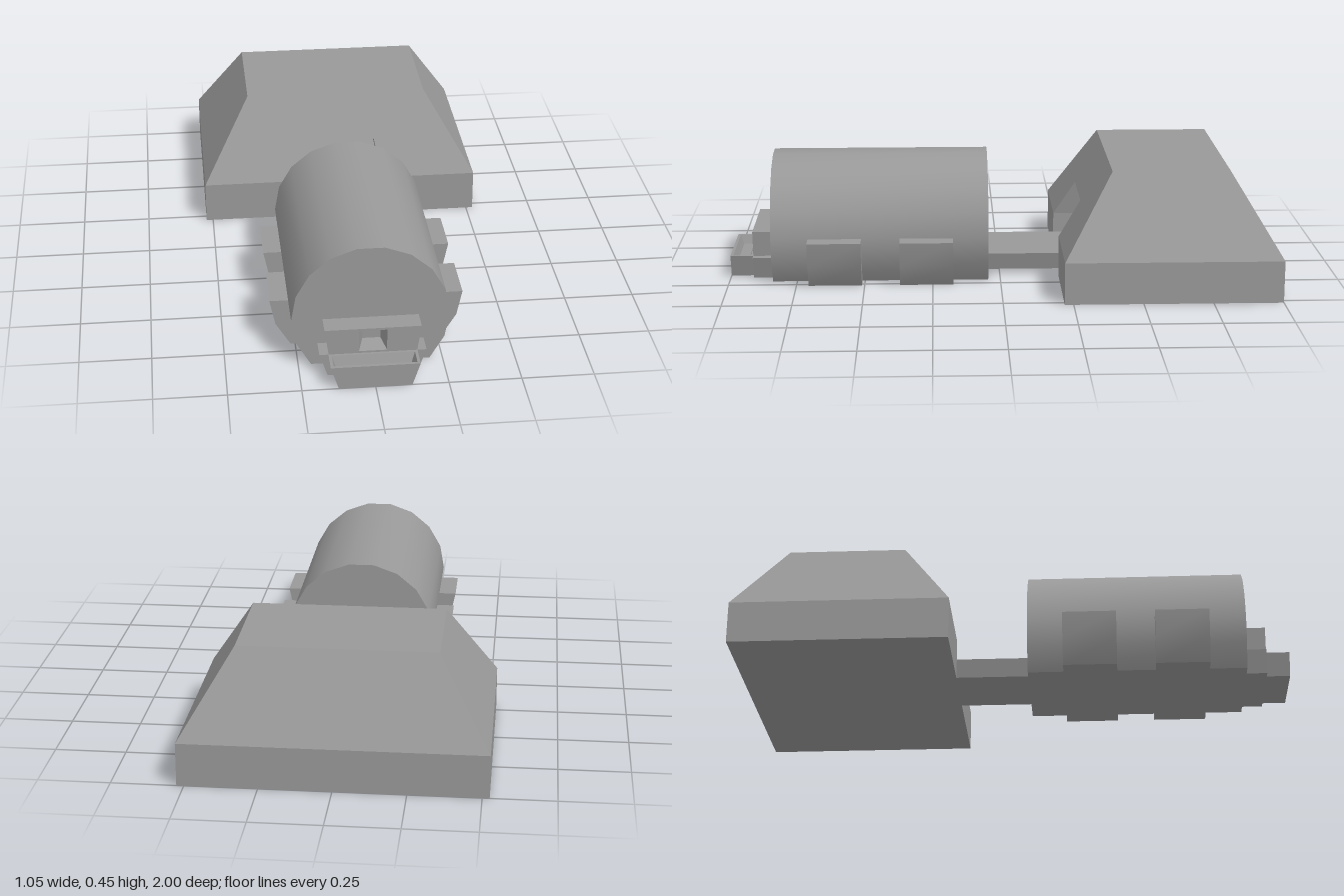
import * as THREE from 'three';
import { toCreasedNormals } from 'three/addons/utils/BufferGeometryUtils.js';

const material = new THREE.MeshStandardMaterial({ color: 0x999999 });

// Skin a list of equal-length rings with quads and cap both ends.
function loft(rings) {
  const pos = [];
  const tri = (a, b, c) => {
    const [A, B, C] = [a, b, c].map((p) => new THREE.Vector3(...p));
    if (B.clone().sub(A).cross(C.clone().sub(A)).length() > 1e-9) pos.push(...a, ...b, ...c);
  };
  const n = rings[0].length;
  for (let i = 0; i < rings.length - 1; i++) {
    for (let j = 0; j < n; j++) {
      const k = (j + 1) % n, a = rings[i], b = rings[i + 1];
      tri(a[j], a[k], b[k]);
      tri(a[j], b[k], b[j]);
    }
  }
  const first = rings[0], last = rings[rings.length - 1];
  for (let j = 1; j < n - 1; j++) {
    tri(first[0], first[j + 1], first[j]);
    tri(last[0], last[j], last[j + 1]);
  }
  const g = new THREE.BufferGeometry();
  g.setAttribute('position', new THREE.Float32BufferAttribute(pos, 3));
  g.computeVertexNormals();
  return g;
}

// Horizontal rectangle at height y
const flat = (y, x, z0, z1) => [[-x, y, z1], [x, y, z1], [x, y, z0], [-x, y, z0]];
// Upright trapezoid at depth z
const upright = (z, y0, x0, y1, x1) => [[-x0, y0, z], [x0, y0, z], [x1, y1, z], [-x1, y1, z]];

// Extrude a front outline from z0 to z1, smooth across its shallow bends
function prism(points, z0, z1) {
  const shape = new THREE.Shape(points.map(([x, y]) => new THREE.Vector2(x, y)));
  const g = new THREE.ExtrudeGeometry(shape, { depth: z1 - z0, bevelEnabled: false });
  g.translate(0, 0, z0);
  return toCreasedNormals(g, 0.5);
}

export function createModel() {
  const model = new THREE.Group();
  const add = (name, geometry) => {
    const mesh = new THREE.Mesh(geometry, material);
    mesh.name = name;
    model.add(mesh);
  };

  // Sloped building; its cross-section has a notch for the entrance
  const section = (y, x, zBack, zFront, n, depth) => [
    [-x, y, zFront], [-n, y, zFront], [-n, y, zFront - depth], [n, y, zFront - depth],
    [n, y, zFront], [x, y, zFront], [x, y, zBack], [-x, y, zBack],
  ];
  const t = 0.45; // height of the entrance lintel along the slope
  const lintel = [0.153 + 0.289 * t, 0.525 - 0.18 * t, -1 + 0.177 * t, -0.218 - 0.18 * t, 0.14];
  add('building', loft([
    section(0, 0.525, -1, -0.218, 0.165, 0),
    section(0, 0.525, -1, -0.218, 0.165, 0.17),
    section(0.153, 0.525, -1, -0.218, 0.165, 0.17),
    section(...lintel, 0.17),
    section(...lintel, 0),
    section(0.442, 0.345, -0.823, -0.398, 0.14, 0),
  ]));

  // Passage from the building to the cabin, with sides leaning in at the bottom
  add('passage', loft([flat(0.018, 0.131, -0.26, 0.06), flat(0.083, 0.15, -0.26, 0.06)]));
  add('passageThreshold', loft([flat(0.018, 0.11, -0.4, -0.25), flat(0.07, 0.125, -0.4, -0.25)]));

  // Round cabin, cut flat where it meets the ground
  const r = 0.272, axis = 0.178;
  const cut = THREE.MathUtils.radToDeg(Math.asin(axis / r));
  const arc = (deg) => {
    const a = THREE.MathUtils.degToRad(deg);
    return [r * Math.cos(a), axis + r * Math.sin(a)];
  };
  const outline = [arc(-cut)];
  for (let deg = -20; deg <= 200; deg += 20) outline.push(arc(deg));
  outline.push(arc(180 + cut));
  add('cabin', prism(outline, 0.045, 0.84));

  // Two support feet on each side, following the cabin wall
  const inner = [-cut, -20, 0].map(arc);
  const thickness = [0.06, 0.062, 0.065];
  const foot = [...inner.map(([x, y], i) => [x + thickness[i], y]), ...inner.slice().reverse()];
  for (const side of [1, -1]) {
    for (const z of [0.175, 0.51]) {
      add(side > 0 ? 'leftFoot' : 'rightFoot',
        prism(side > 0 ? foot : foot.map(([x, y]) => [-x, y]).reverse(), z, z + 0.195));
    }
  }

  // Front window housing with a tapered opening
  add('windowHousing', loft([
    upright(0.83, 0.08, 0.151, 0.178, 0.165),
    upright(0.915, 0.08, 0.151, 0.178, 0.165),
    upright(0.915, 0.09, 0.048, 0.17, 0.048),
    upright(0.86, 0.107, 0.031, 0.155, 0.031),
  ]));

  // Wide ledge under the window
  add('ledge', loft([flat(0, 0.155, 0.83, 0.915), flat(0.083, 0.183, 0.83, 0.915)]));

  // Trough in front, hollowed from above
  add('trough', loft([
    flat(0, 0.125, 0.91, 1),
    flat(0.083, 0.152, 0.91, 1),
    flat(0.083, 0.142, 0.925, 0.99),
    flat(0.05, 0.13, 0.938, 0.977),
  ]));

  return model;
}
